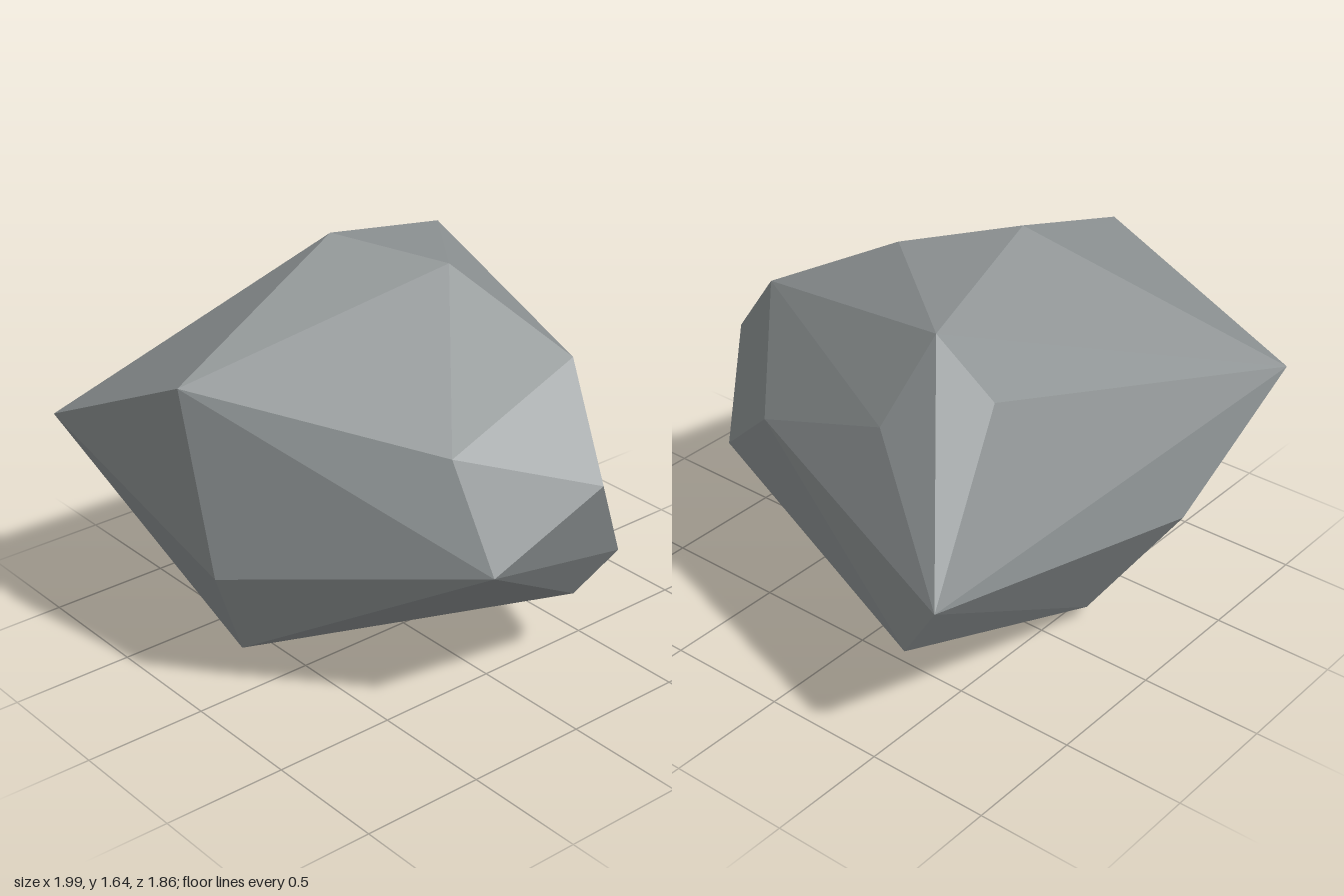
import * as THREE from 'three';
import { ConvexGeometry } from 'three/addons/geometries/ConvexGeometry.js';

export function createModel() {
  const model = new THREE.Group();
  model.name = 'rock';

  const stone = new THREE.MeshStandardMaterial({ color: 0x8a8f90 });
  stone.name = 'stone grey';

  // Corners of the faceted boulder, from the crown down to the base
  const corners = [
    // crown
    [-0.14, 1.64, -0.26], [0.13, 1.56, 0.11], [0.5, 1.5, -0.38],
    // shoulders
    [-0.98, 1.31, -0.08], [0.3, 1.3, 0.61], [0.42, 1.26, -0.58],
    [0.69, 1.17, -0.28], [-0.34, 1.11, 0.67],
    // widest band
    [0.16, 0.94, 0.93], [0.6, 0.91, 0.38], [-1, 0.91, -0.92],
    [0.99, 0.76, -0.78], [-0.32, 0.71, 0.88], [-0.93, 0.56, 0.03],
    [-0.3, 0.56, -0.93], [0.39, 0.54, 0.8], [0.94, 0.49, -0.6],
    // underside
    [0.3, 0.32, 0.66], [-0.52, 0.18, -0.56], [-0.77, 0.17, -0.04],
    [-0.16, 0.07, -0.6], [-0.1, 0, -0.43],
  ].map((p) => new THREE.Vector3(...p));

  // Flat-faced hull wrapped round the corners
  const boulder = new THREE.Mesh(new ConvexGeometry(corners), stone);
  boulder.name = 'boulder';
  model.add(boulder);
  return model;
}
